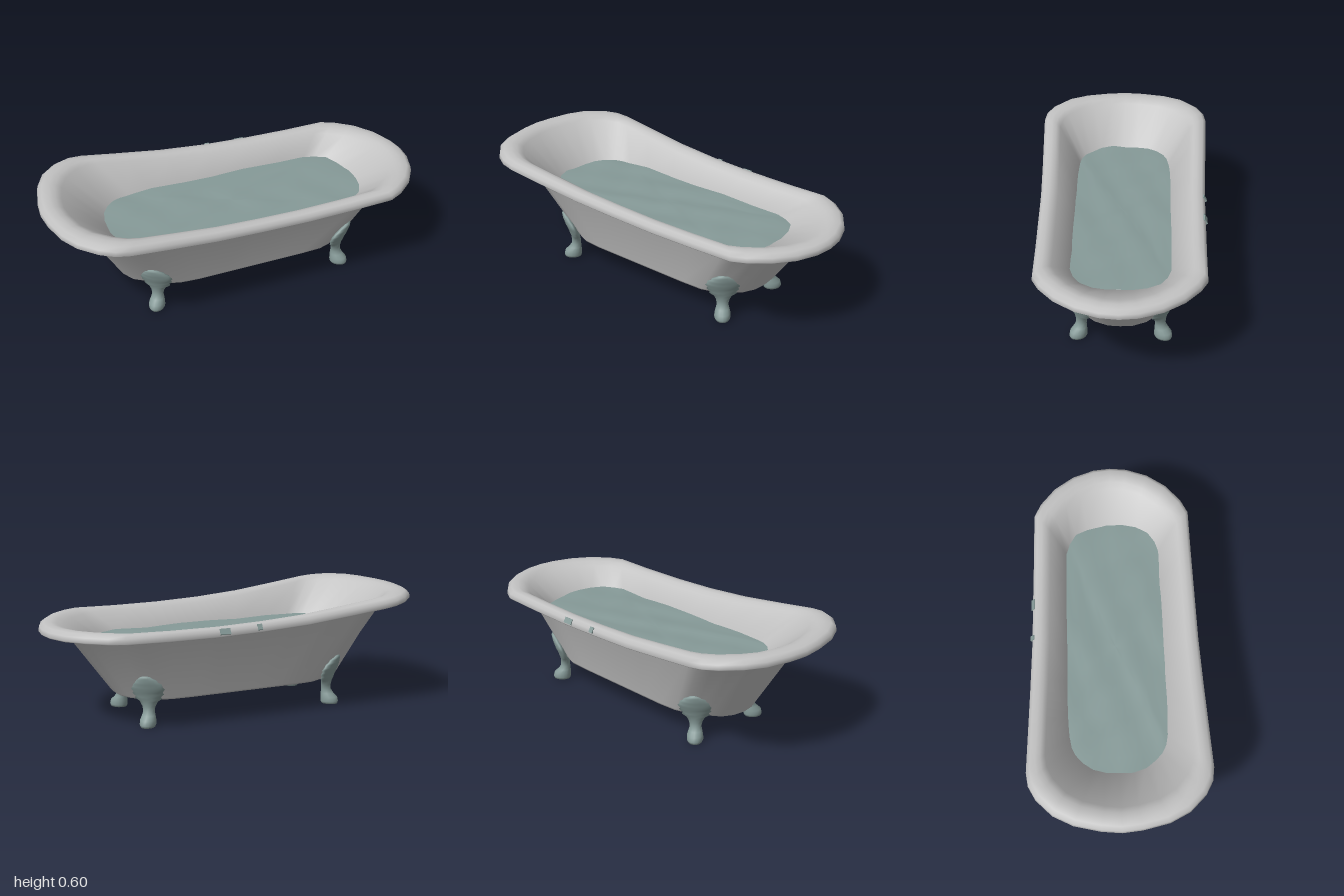
import * as THREE from 'three';

const enamel = new THREE.MeshStandardMaterial({ color: 0xc2c2c2 });
enamel.name = 'grey enamel';
const patina = new THREE.MeshStandardMaterial({ color: 0x869a98, side: THREE.DoubleSide });
patina.name = 'grey green';

// Half outlines, from the high end (-x) round the front to the low end (+x)
const RIM = [[-1, 0], [-0.99, 0.1], [-0.96, 0.23], [-0.91, 0.33], [-0.83, 0.41], [-0.76, 0.447],
  [-0.69, 0.457], [-0.5, 0.448], [-0.25, 0.436], [0, 0.425], [0.25, 0.42], [0.5, 0.414],
  [0.72, 0.41], [0.79, 0.375], [0.88, 0.3], [0.95, 0.2], [0.99, 0.09], [1, 0]];
const BASE = [[-0.63, 0], [-0.62, 0.06], [-0.59, 0.115], [-0.535, 0.155], [-0.475, 0.19], [-0.42, 0.218],
  [-0.38, 0.232], [-0.28, 0.24], [-0.15, 0.24], [0, 0.24], [0.15, 0.24], [0.3, 0.24],
  [0.42, 0.235], [0.48, 0.215], [0.55, 0.175], [0.6, 0.125], [0.63, 0.06], [0.635, 0]];
const BASIN = [[-0.67, 0], [-0.665, 0.07], [-0.645, 0.13], [-0.61, 0.18], [-0.57, 0.215], [-0.53, 0.235],
  [-0.48, 0.245], [-0.35, 0.25], [-0.17, 0.25], [0, 0.247], [0.17, 0.247], [0.36, 0.245],
  [0.53, 0.243], [0.59, 0.225], [0.64, 0.19], [0.675, 0.13], [0.69, 0.06], [0.69, 0]];
const WATER_LEVEL = 0.4;

const mirrorOutline = (half) => [...half, ...half.slice(1, -1).reverse().map(([x, z]) => [x, -z])];
const rim = mirrorOutline(RIM);
const base = mirrorOutline(BASE);
const basin = mirrorOutline(BASIN);
const wallTop = rim.map(([x, z]) => [x * 0.88, z * 0.79]);

// Height of the sweeping rim along the tub
const sweep = [[-1, 0.597], [-0.9, 0.6], [-0.8, 0.594], [-0.6, 0.573], [-0.35, 0.54], [-0.1, 0.52],
  [0.2, 0.508], [0.5, 0.508], [0.75, 0.513], [0.9, 0.512], [1, 0.507]];
function rimHeight(x) {
  let i = 0;
  while (i < sweep.length - 2 && x > sweep[i + 1][0]) i++;
  const [[x0, y0], [x1, y1]] = [sweep[i], sweep[i + 1]];
  return y0 + ((y1 - y0) * (x - x0)) / (x1 - x0);
}

// Skin a stack of closed rings of [x, y, z] points
function loft(rings) {
  const n = rings[0].length;
  const index = [];
  for (let i = 0; i < rings.length - 1; i++) {
    for (let j = 0; j < n; j++) {
      const a = i * n + j;
      const b = i * n + ((j + 1) % n);
      index.push(a, b, b + n, a, b + n, a + n);
    }
  }
  const geometry = new THREE.BufferGeometry();
  geometry.setAttribute('position', new THREE.Float32BufferAttribute(rings.flat(2), 3));
  geometry.setIndex(index);
  geometry.computeVertexNormals();
  return geometry;
}

function add(group, name, geometry, material) {
  const mesh = new THREE.Mesh(geometry, material);
  mesh.name = name;
  group.add(mesh);
  return mesh;
}

// Tub shell: outside base, wall, rolled rim, sloping inside wall and floor
function tubGeometry() {
  const flatRing = (outline, scale, y) => outline.map(([x, z]) => [x * scale, y, z * scale]);
  const rimRing = (s, drop) => rim.map(([x, z], j) => {
    const [wx, wz] = wallTop[j];
    return [wx + (x - wx) * s, rimHeight(x) - drop, wz + (z - wz) * s];
  });
  const rimProfile = [[0, 0.042], [0.5, 0.024], [0.85, 0.032], [0.93, 0.048],
    [1, 0.041], [0.97, 0.018], [0.8, 0.003], [0.5, 0], [0.25, 0.006], [0, 0.022]];
  return loft([
    flatRing(base, 0, 0.13), flatRing(base, 0.985, 0.13), flatRing(base, 1.005, 0.14),
    ...rimProfile.map(([s, drop]) => rimRing(s, drop)),
    flatRing(basin, 1, WATER_LEVEL), flatRing(base, 0.9, 0.17), flatRing(base, 0, 0.16),
  ]);
}

// Gently rippled water surface
function waterGeometry() {
  return loft([1.01, 0.88, 0.74, 0.6, 0.45, 0.3, 0.15, 0].map((scale) => basin.map(([bx, bz]) => {
    const x = bx * scale;
    const z = bz * scale;
    return [x, WATER_LEVEL + 0.004 + 0.006 * Math.sin(x * 17 + z * 9) * Math.cos(z * 21 - x * 6), z];
  })));
}

// Claw foot with a scalloped leaf; columns: height, outward offset, half width, half depth
const legSections = [[0, 0.02, 0, 0], [0, 0.02, 0.036, 0.044], [0.012, 0.02, 0.041, 0.048],
  [0.035, 0.017, 0.04, 0.045], [0.055, 0.006, 0.034, 0.033], [0.075, 0, 0.029, 0.025],
  [0.1, 0, 0.034, 0.024], [0.125, 0.004, 0.047, 0.024], [0.14, 0.01, 0.07, 0.024],
  [0.15, 0.013, 0.064, 0.024], [0.165, 0.018, 0.082, 0.024], [0.176, 0.023, 0.076, 0.024],
  [0.192, 0.03, 0.089, 0.024], [0.204, 0.035, 0.08, 0.023], [0.22, 0.041, 0.078, 0.022],
  [0.23, 0.046, 0.062, 0.021], [0.244, 0.051, 0.055, 0.018], [0.252, 0.055, 0.038, 0.016],
  [0.262, 0.059, 0.026, 0.012], [0.267, 0.061, 0, 0]];
function legGeometry() {
  const sides = 16;
  return loft(legSections.map(([y, out, w, d]) => Array.from({ length: sides }, (_, j) => {
    const a = (-j / sides) * Math.PI * 2;
    const u = w * Math.cos(a);
    return [u, y, out + d * Math.sin(a) - 1.8 * u * u];
  })));
}

export function createModel() {
  const model = new THREE.Group();
  model.name = 'bathtub';
  add(model, 'tub', tubGeometry(), enamel);
  add(model, 'water', waterGeometry(), patina);

  // Four legs turned out towards the corners
  const leg = legGeometry();
  for (const [x, end] of [[0.525, 'low'], [-0.487, 'high']]) {
    for (const side of [1, -1]) {
      const mesh = add(model, `${end}End${side > 0 ? 'Front' : 'Back'}Leg`, leg, patina);
      mesh.position.set(x, 0, side * 0.197);
      mesh.rotation.y = Math.atan2(Math.sign(x) * 0.62, side * 0.78);
    }
  }

  // Small fitting plates lying on the outer slope of the back rim
  for (const [x, width, z] of [[0.025, 0.025, -0.4215], [0.21, 0.055, -0.4175]]) {
    const plate = add(model, 'rimPlate', new THREE.BoxGeometry(width, 0.009, 0.03), patina);
    plate.position.set(x, rimHeight(x) - 0.019, z);
    plate.rotation.x = -1.05;
  }
  return model;
}
